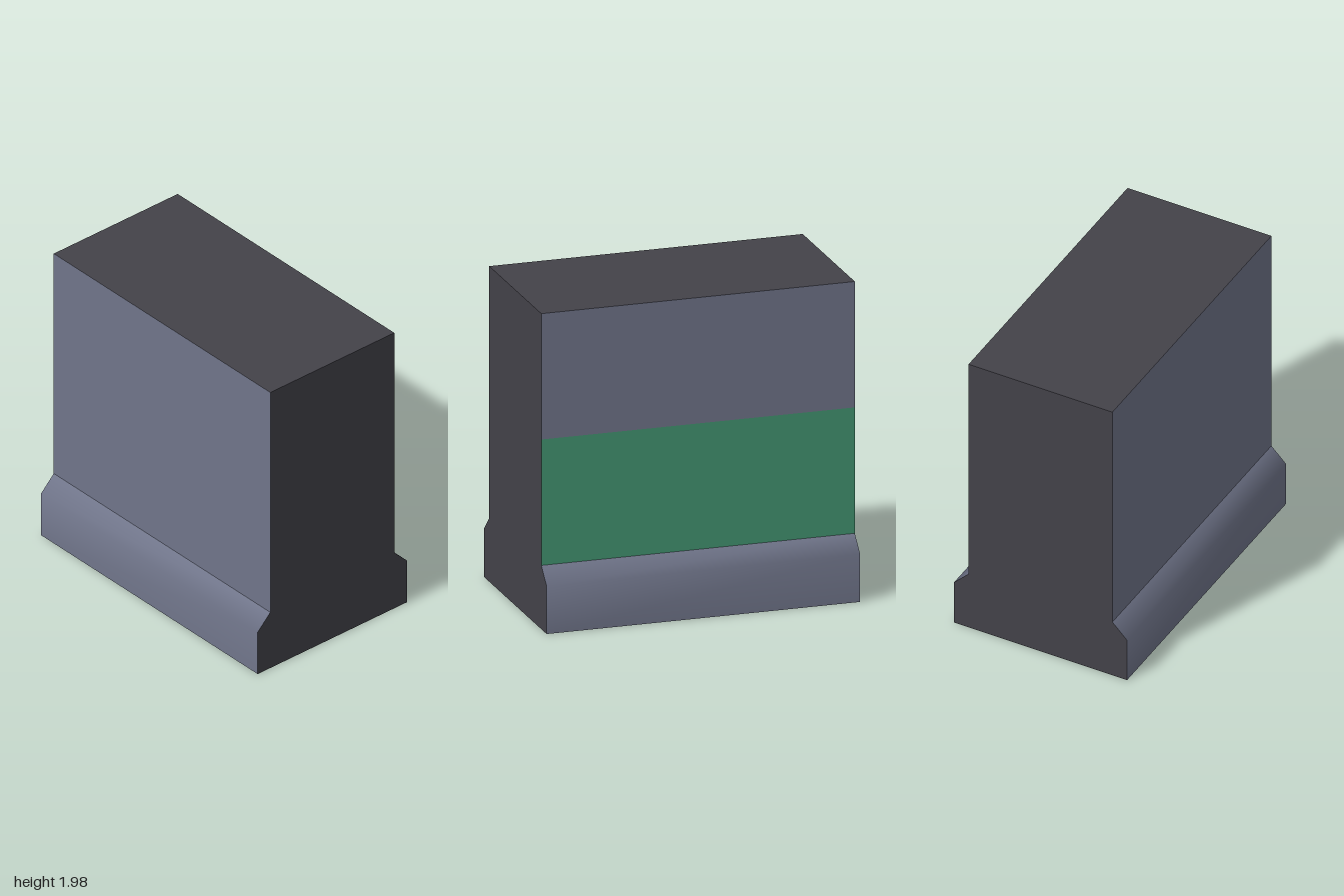
import * as THREE from 'three';

const HALF_LENGTH = 0.988;
const FOOT = 0.59, WALL = 0.49;            // half widths
const LEDGE_LOW = 0.3, LEDGE_TOP = 0.4, TOP = 1.98;
const BAND_TOP = (LEDGE_TOP + TOP) / 2;

function material(name, color) {
  const m = new THREE.MeshStandardMaterial({ color });
  m.name = name;
  return m;
}

// Sweeps a profile of [x, y] points, listed upwards, along z; it faces +x.
// Neighbouring strips share vertices, so they shade smoothly.
function sideStrip(profile) {
  const positions = [], index = [];
  profile.forEach(([x, y], i) => {
    positions.push(x, y, HALF_LENGTH, x, y, -HALF_LENGTH);
    if (i > 0) {
      const a = 2 * (i - 1);
      index.push(a, a + 1, a + 3, a, a + 3, a + 2);
    }
  });
  const g = new THREE.BufferGeometry();
  g.setAttribute('position', new THREE.Float32BufferAttribute(positions, 3));
  g.setIndex(index);
  g.computeVertexNormals();
  return g;
}

export function createModel() {
  const model = new THREE.Group();
  model.name = 'block';
  const dark = material('dark grey', 0x434249);
  const slate = material('slate grey', 0x70758a);
  const green = material('green', 0x439672);

  function add(name, geometry, mat, parent = model) {
    const mesh = new THREE.Mesh(geometry, mat);
    mesh.name = name;
    parent.add(mesh);
    return mesh;
  }

  // End faces: upright wall on a wider foot with sloped ledges
  const half = [[FOOT, 0], [FOOT, LEDGE_LOW], [WALL, LEDGE_TOP], [WALL, TOP]];
  const outline = [...half, ...half.map(([x, y]) => [-x, y]).reverse()];
  const shape = new THREE.Shape(outline.map(([x, y]) => new THREE.Vector2(x, y)));
  const endGeometry = new THREE.ShapeGeometry(shape);
  add('frontEnd', endGeometry, dark).position.z = HALF_LENGTH;
  const back = add('backEnd', endGeometry, dark);
  back.position.z = -HALF_LENGTH;
  back.rotation.y = Math.PI;

  // Top and underside
  const top = add('top', new THREE.PlaneGeometry(2 * WALL, 2 * HALF_LENGTH), dark);
  top.rotation.x = -Math.PI / 2;
  top.position.y = TOP;
  const underside = add('underside', new THREE.PlaneGeometry(2 * FOOT, 2 * HALF_LENGTH), slate);
  underside.rotation.x = Math.PI / 2;

  // Long sides; only the left one carries the green band
  for (const side of ['left', 'right']) {
    const group = new THREE.Group();
    group.name = side + 'Side';
    group.rotation.y = side === 'left' ? 0 : Math.PI;
    model.add(group);
    add('footLedge', sideStrip(half.slice(0, 3)), slate, group);
    const wallStart = side === 'left' ? BAND_TOP : LEDGE_TOP;
    add('wall', sideStrip([[WALL, wallStart], [WALL, TOP]]), slate, group);
    if (side === 'left') {
      add('greenBand', sideStrip([[WALL, LEDGE_TOP], [WALL, BAND_TOP]]), green, group);
    }
  }

  // The whole block stands slightly turned
  model.rotation.y = -0.02;
  const root = new THREE.Group();
  root.name = 'turnedBlock';
  root.add(model);
  return root;
}
